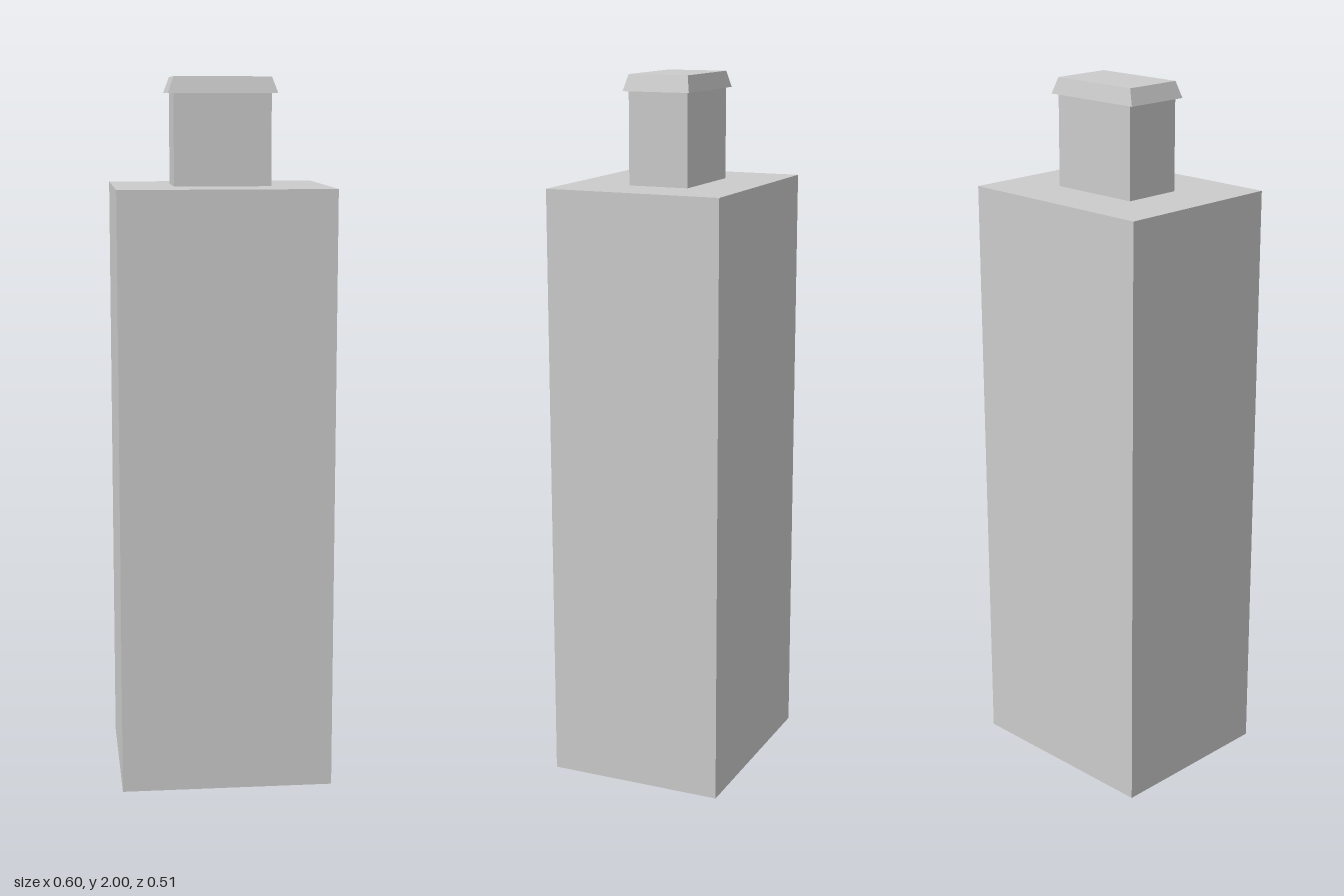
import * as THREE from 'three';

const material = new THREE.MeshStandardMaterial({ color: 0xcccccc, flatShading: true });

// Box standing on y = bottom, with its top face scaled in x and z
function block(name, width, height, depth, bottom, topX = 1, topZ = 1) {
  const geometry = new THREE.BoxGeometry(width, height, depth);
  const p = geometry.attributes.position;
  for (let i = 0; i < p.count; i++) {
    if (p.getY(i) > 0) {
      p.setX(i, p.getX(i) * topX);
      p.setZ(i, p.getZ(i) * topZ);
    }
  }
  geometry.computeVertexNormals();
  const mesh = new THREE.Mesh(geometry, material);
  mesh.name = name;
  mesh.position.y = bottom + height / 2;
  return mesh;
}

export function createModel() {
  const model = new THREE.Group();
  model.name = 'tower';

  // Tall main shaft
  model.add(block('shaft', 0.6, 1.7, 0.506, 0));

  // Small upper block and its bevelled cap, slightly off centre
  const top = new THREE.Group();
  top.name = 'topBlock';
  top.position.set(0.003, 0, -0.007);
  top.add(block('neck', 0.272, 0.255, 0.174, 1.7));
  top.add(block('cap', 0.305, 0.045, 0.195, 1.955, 0.272 / 0.305, 0.174 / 0.195));
  model.add(top);

  return model;
}
